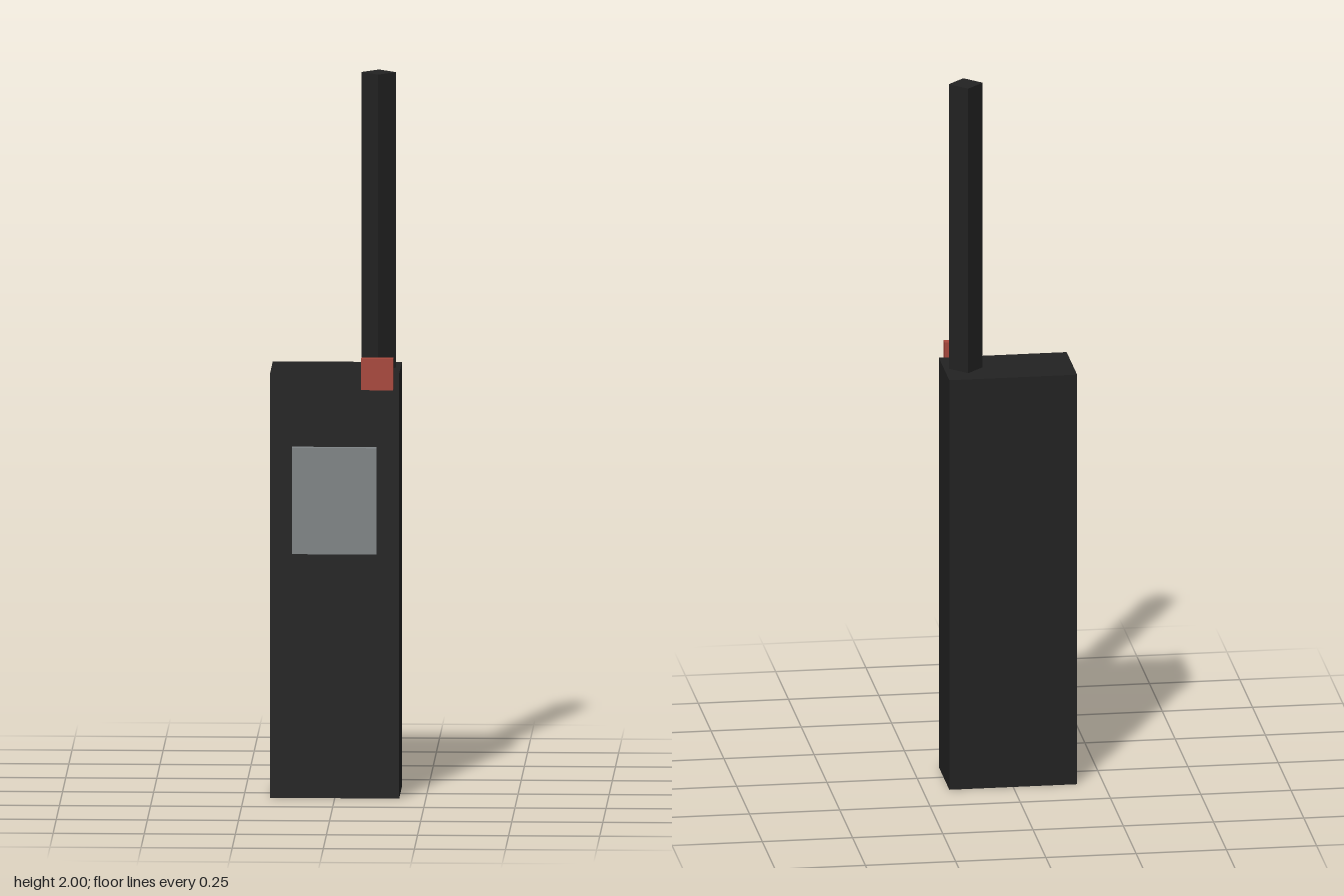
import * as THREE from 'three';

const mat = (name, color) => {
  const m = new THREE.MeshStandardMaterial({ color });
  m.name = name;
  return m;
};

export function createModel() {
  const group = new THREE.Group();
  group.name = 'handheldRadio';
  const black = mat('blackCasing', 0x222222);
  const grey = mat('greyScreen', 0x7f8486);
  const red = mat('redButton', 0xa8483c);

  // Box given by its lower and upper corners
  const box = (name, material, min, max) => {
    const size = max.map((v, i) => v - min[i]);
    const mesh = new THREE.Mesh(new THREE.BoxGeometry(...size), material);
    mesh.position.set(...max.map((v, i) => (v + min[i]) / 2));
    mesh.name = name;
    group.add(mesh);
  };

  // Casing
  box('body', black, [-0.177, 0, -0.113], [0.177, 1.18, 0.091]);
  // Display on the front face
  box('screen', grey, [-0.117, 0.68, 0.09], [0.115, 0.975, 0.113]);
  // Talk button over the top front edge
  box('button', red, [0.073, 1.136, 0.089], [0.161, 1.223, 0.113]);

  // Four-sided antenna, corner forward, rising from the top
  const antenna = new THREE.Mesh(new THREE.CylinderGeometry(0.047, 0.047, 0.84, 4).toNonIndexed(), black);
  antenna.geometry.computeVertexNormals(); // flat facets
  antenna.position.set(0.117, 1.58, -0.011);
  antenna.name = 'antenna';
  group.add(antenna);

  return group;
}
